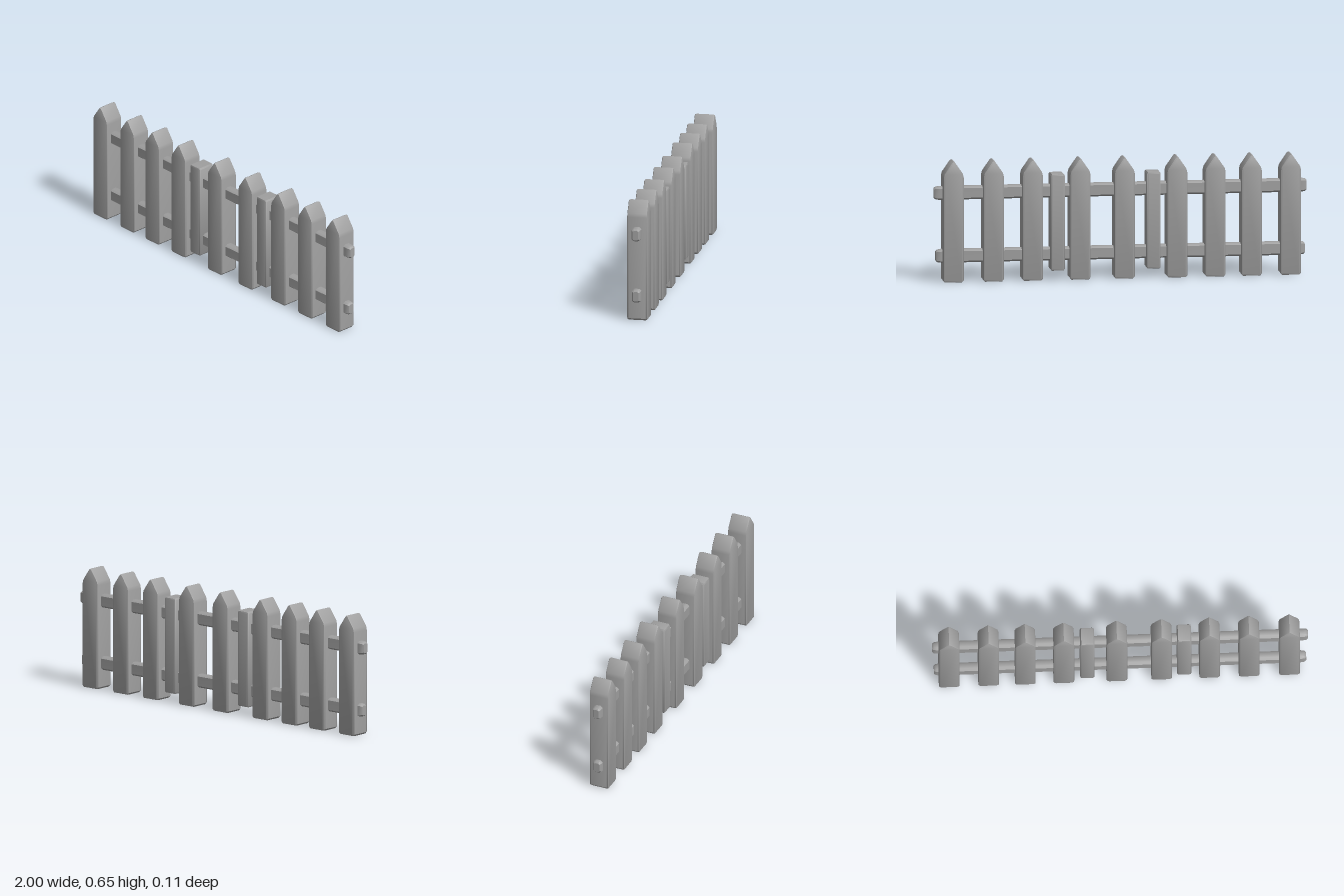
import * as THREE from 'three';
import { mergeVertices, toCreasedNormals } from 'three/addons/utils/BufferGeometryUtils.js';

// Extrudes an outline to a total depth centred on z = 0, with soft bevelled edges inside the outline.
function softExtrude(points, depth, size, thickness) {
  const shape = new THREE.Shape(points.map(([x, y]) => new THREE.Vector2(x, y)));
  const geometry = new THREE.ExtrudeGeometry(shape, {
    depth: depth - 2 * thickness,
    bevelEnabled: true,
    bevelSize: size,
    bevelOffset: -size,
    bevelThickness: thickness,
    bevelSegments: 2,
  });
  geometry.translate(0, 0, thickness - depth / 2);
  geometry.deleteAttribute('uv');
  geometry.deleteAttribute('normal');
  return toCreasedNormals(mergeVertices(geometry), 0.7);
}

export function createModel() {
  const fence = new THREE.Group();
  fence.name = 'picketFence';
  const grey = new THREE.MeshStandardMaterial({ color: 0x9f9f9f });
  grey.name = 'fence grey';

  function add(name, geometry, x, y) {
    const mesh = new THREE.Mesh(geometry, grey);
    mesh.name = name;
    mesh.position.set(x, y, 0);
    fence.add(mesh);
  }

  // Pointed pickets, with small chamfers at the foot and shoulders
  const picket = softExtrude([
    [-0.046, 0], [0.046, 0], [0.055, 0.01], [0.055, 0.565], [0.05, 0.585],
    [0.008, 0.646], [0, 0.65], [-0.008, 0.646], [-0.05, 0.585], [-0.055, 0.565], [-0.055, 0.01],
  ], 0.11, 0.008, 0.01);
  for (const x of [-0.91, -0.7, -0.505, -0.3, -0.018, 0.22, 0.475, 0.685, 0.9]) {
    add('picket', picket, x, 0);
  }

  // Short flat-topped slats between the pickets
  const slat = softExtrude([
    [-0.032, 0.05], [0.032, 0.05], [0.038, 0.058], [0.038, 0.562],
    [0.032, 0.57], [-0.032, 0.57], [-0.038, 0.562], [-0.038, 0.058],
  ], 0.1, 0.008, 0.01);
  for (const x of [-0.175, 0.34]) add('slat', slat, x, 0);

  // Horizontal rails with rounded edges and tapered ends
  const railSection = [
    [-0.012, -0.036], [0.012, -0.036], [0.025, -0.026], [0.025, 0.026],
    [0.012, 0.036], [-0.012, 0.036], [-0.025, 0.026], [-0.025, -0.026],
  ];
  for (const [name, length, y] of [['upperRail', 2, 0.477], ['lowerRail', 1.98, 0.138]]) {
    const rail = softExtrude(railSection, length, 0.01, 0.03);
    rail.rotateY(Math.PI / 2);
    add(name, rail, 0, y);
  }

  return fence;
}
